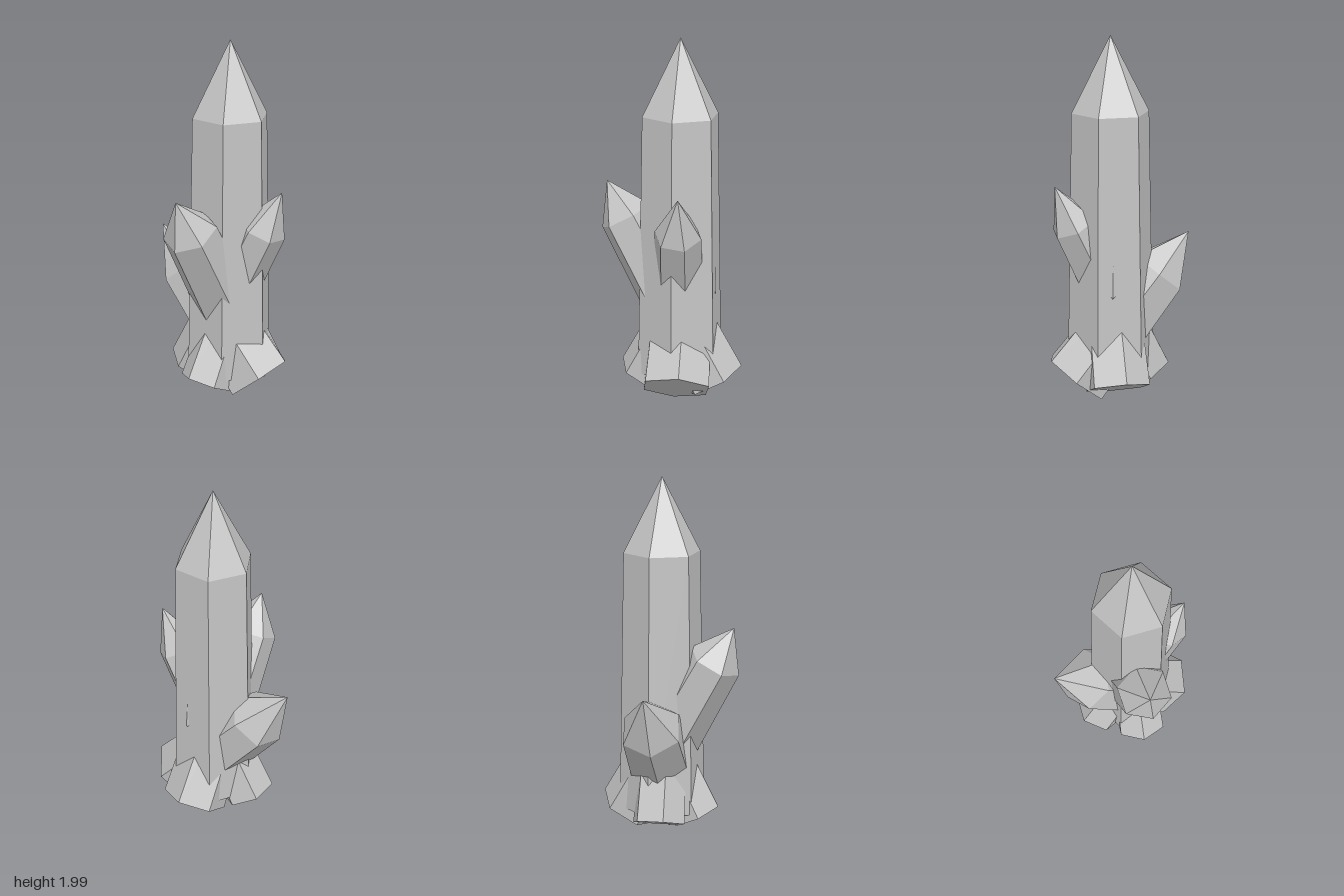
import * as THREE from 'three';

const SIDES = 6;

// Hexagonal crystal: flat base, tapering shaft, pointed tip.
// ref aims the first corner of the hexagon; shoulder is the fraction of the length where the tip starts.
function crystal({ name, base, apex, rBase, rTop, shoulder, ref }, material) {
  const b = new THREE.Vector3(...base), a = new THREE.Vector3(...apex);
  const axis = a.clone().sub(b).normalize();
  const u = new THREE.Vector3(...ref).projectOnPlane(axis).normalize();
  const v = axis.clone().cross(u);
  const neck = b.clone().lerp(a, shoulder);
  const corner = (centre, r, i) => {
    const t = (i / SIDES) * Math.PI * 2;
    return centre.clone().addScaledVector(u, r * Math.cos(t)).addScaledVector(v, r * Math.sin(t));
  };
  const points = [];
  for (let i = 0; i < SIDES; i++) {
    const b0 = corner(b, rBase, i), b1 = corner(b, rBase, i + 1);
    const n0 = corner(neck, rTop, i), n1 = corner(neck, rTop, i + 1);
    points.push(b, b1, b0); // base
    points.push(b0, b1, n1, b0, n1, n0); // shaft
    points.push(n0, n1, a); // tip
  }
  const geometry = new THREE.BufferGeometry().setFromPoints(points);
  geometry.computeVertexNormals();
  const mesh = new THREE.Mesh(geometry, material);
  mesh.name = name;
  return mesh;
}

export function createModel() {
  const group = new THREE.Group();
  group.name = 'crystalCluster';
  const stone = new THREE.MeshStandardMaterial({ color: 0xc4c4c4 });
  stone.name = 'grey stone';
  stone.flatShading = true;

  const crystals = [
    // tall central column
    { name: 'mainCrystal', base: [0.05, 0.17, -0.048], apex: [0.05, 2, -0.048],
      rBase: 0.242, rTop: 0.208, shoulder: 0.782, ref: [1, 0, 0] },
    // leaning forward, its foot showing at the back
    { name: 'frontCrystal', base: [0.055, 0.125, -0.236], apex: [0.03, 1.22, 0.36],
      rBase: 0.178, rTop: 0.149, shoulder: 0.825, ref: [0.01, -0.07, 0.129] },
    // leaning to the right, its foot showing at the left
    { name: 'rightCrystal', base: [0.25, 0.136, -0.068], apex: [-0.4, 0.91, 0],
      rBase: 0.197, rTop: 0.17, shoulder: 0.72, ref: [0.146, 0.125, -0.045] },
    // leaning to the left, its foot showing at the right
    { name: 'leftCrystal', base: [-0.155, 0.135, 0], apex: [0.36, 1.23, -0.1],
      rBase: 0.15, rTop: 0.125, shoulder: 0.8, ref: [0.1, -0.05, -0.055] },
    // leaning back inside the column, its foot showing at the front
    { name: 'backCrystal', base: [0.055, 0.125, 0.15], apex: [0.08, 0.9, -0.24],
      rBase: 0.15, rTop: 0.125, shoulder: 0.75, ref: [-0.015, 0.075, 0.13] },
  ];
  for (const c of crystals) group.add(crystal(c, stone));
  return group;
}
